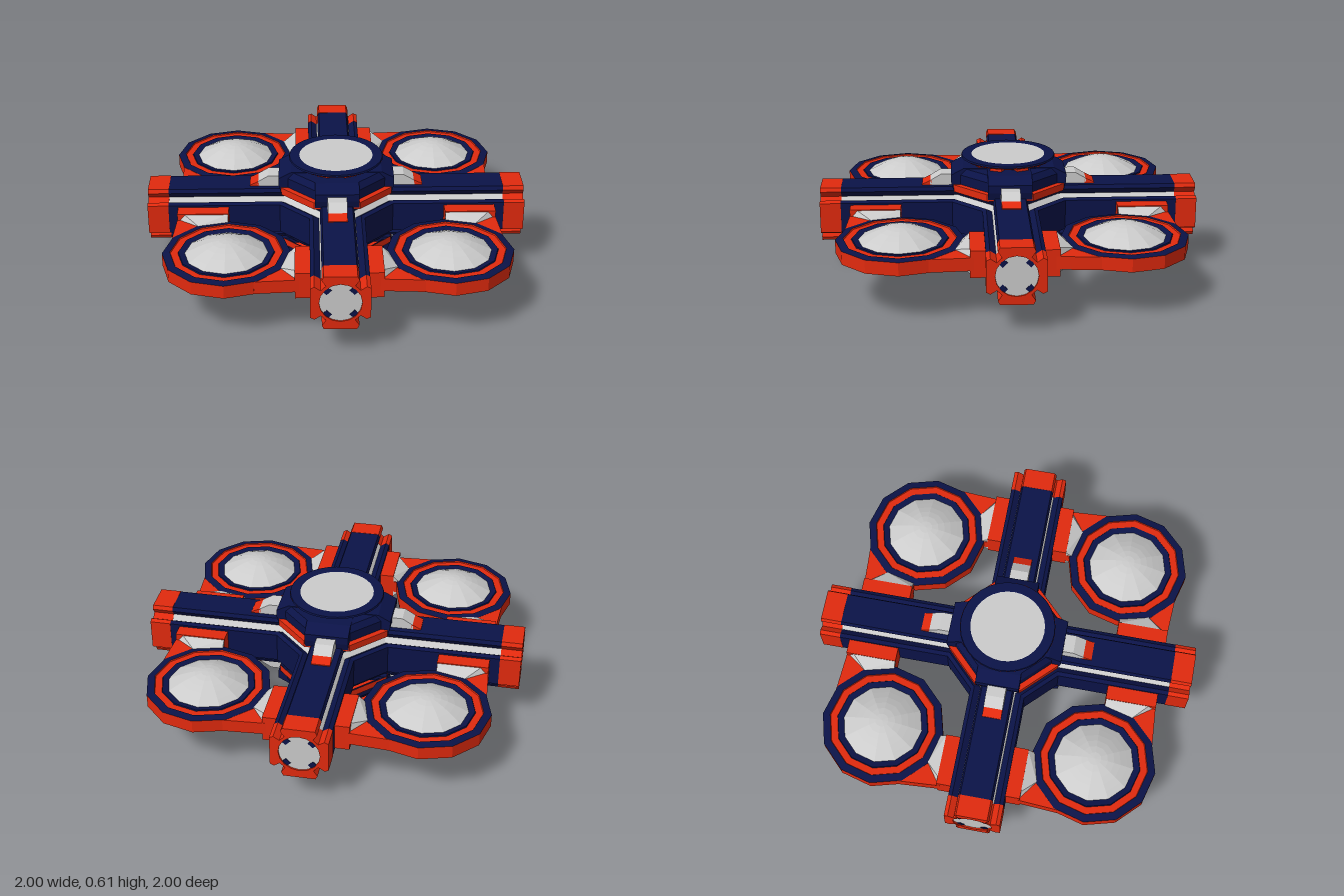
import * as THREE from 'three';
import { ConvexGeometry } from 'three/addons/geometries/ConvexGeometry.js';

const paint = (color) => new THREE.MeshStandardMaterial({ color, flatShading: true, side: THREE.DoubleSide });
const NAVY = paint(0x0b1348), RED = paint(0xe22a0e), GREY = paint(0xcccccc);
const MID = 0.305; // height of the symmetry plane

function add(parent, name, geometry, material) {
  const mesh = new THREE.Mesh(geometry, material);
  mesh.name = name;
  parent.add(mesh);
  return mesh;
}
const v2 = (pts) => pts.map(([x, y]) => new THREE.Vector2(x, y));
const lathe = (pts, sides, start = 0) => new THREE.LatheGeometry(v2(pts), sides, start);
const octagon = (pts) => lathe(pts.map(([a, y]) => [a / Math.cos(Math.PI / 8), y]), 8, Math.PI / 8);

// Side profile in x-y, extruded to a given width centred on z = 0
function slab(pts, width) {
  return new THREE.ExtrudeGeometry(new THREE.Shape(v2(pts)), { depth: width, bevelEnabled: false })
    .translate(0, 0, -width / 2);
}
// Plan outline in x-z, extruded to a given height centred on y = 0
const plate = (pts, height) => slab(pts.map(([x, z]) => [x, -z]), height).rotateX(-Math.PI / 2);

// Arm section: ridges above and beside, grooves at the diagonals
const ridge = [[0, 0.145], [0.08, 0.145], [0.09, 0.125], [0.07, 0.095]];
const sideRidge = [[0.095, 0.07], [0.125, 0.09], [0.145, 0.08], [0.145, -0.08], [0.125, -0.09], [0.095, -0.07]];
const groove = [[0.07, 0.095], [0.095, 0.07]];
const flip = (pts) => pts.map(([o, y]) => [o, -y]).reverse();

// Sweep a section from one arm to the next, around the chamfered inner corner
function cornerSweep(section) {
  const pos = [], index = [];
  for (const [o, y] of section) {
    const c = 0.445 - (0.145 - o) * Math.SQRT2;
    pos.push(0.9, y, o, c - o, y, o, o, y, c - o, o, y, 0.9);
  }
  for (let i = 0; i < section.length - 1; i++) {
    for (let j = 0; j < 3; j++) {
      const a = i * 4 + j, b = a + 4;
      index.push(a, a + 1, b, a + 1, b + 1, b);
    }
  }
  const g = new THREE.BufferGeometry();
  g.setAttribute('position', new THREE.Float32BufferAttribute(pos, 3));
  g.setIndex(index);
  g.computeVertexNormals();
  return g;
}

// Domed pod with concentric rings, the same above and below
function makePod() {
  const pod = new THREE.Group();
  pod.name = 'pod';
  add(pod, 'podRim', lathe([[0.325, -0.035], [0.325, 0.035]], 12), RED);
  const dome = [];
  for (let i = 0; i <= 6; i++) {
    const t = i / 6;
    dome.push([0.21 * (1 - t), 0.035 + 0.072 * Math.sin(t * Math.PI / 2)]);
  }
  for (const turn of [0, Math.PI]) {
    const face = new THREE.Group();
    face.name = 'podFace';
    add(face, 'outerRing', lathe([[0.325, 0.035], [0.285, 0.042]], 12), NAVY);
    add(face, 'middleRing', lathe([[0.285, 0.042], [0.282, 0.036], [0.245, 0.036]], 12), RED);
    add(face, 'innerRing', lathe([[0.245, 0.036], [0.242, 0.042], [0.21, 0.035]], 12), NAVY);
    add(face, 'dome', lathe(dome, 12), GREY);
    face.rotation.x = turn;
    pod.add(face);
  }
  pod.position.set(0.565, 0, 0.565);
  return pod;
}

// Bracket joining a pod to one arm; swapped = the arm along x
function addBracket(parent, swapped) {
  const s = ([x, z]) => (swapped ? [z, x] : [x, z]);
  add(parent, 'podBracket', plate([[0.42, 0.852], [0.2, 0.838], [0.2, 0.57], [0.25, 0.57], [0.5, 0.65]].map(s), 0.068), RED);
  add(parent, 'bracketSocket', plate([[0.12, 0.57], [0.22, 0.57], [0.22, 0.838], [0.12, 0.838]].map(s), 0.14), RED);
  const wedge = [];
  for (const k of [1, -1]) {
    for (const [x, y, z] of [[0.218, 0.066, 0.8], [0.218, 0.066, 0.572], [0.29, 0.036, 0.725], [0.218, 0.036, 0.825], [0.252, 0.036, 0.572]]) {
      const [a, b] = s([x, z]);
      wedge.push(new THREE.Vector3(a, y * k, b));
    }
  }
  add(parent, 'bracketWedge', new ConvexGeometry(wedge), GREY);
}

// Flared end cap on the +x arm
function addEndCap(parent) {
  const half = [...ridge, ...sideRidge, ...flip(ridge)];
  const outline = [...half, ...half.slice(1, -1).reverse().map(([x, y]) => [-x, y])];
  const shape = new THREE.Shape(v2(outline.map(([x, y]) => [x * 1.01, y * 1.01])));
  shape.holes.push(new THREE.Path().absarc(0, 0, 0.104, 0, Math.PI * 2, true));
  const cap = new THREE.ExtrudeGeometry(shape, { depth: 0.11, bevelEnabled: false, curveSegments: 8 });
  add(parent, 'endCap', cap.rotateY(Math.PI / 2).translate(0.89, 0, 0), RED);
  add(parent, 'endDisc', new THREE.CylinderGeometry(0.104, 0.104, 0.09, 24).rotateZ(Math.PI / 2).translate(0.947, 0, 0), GREY);
  for (let i = 0; i < 4; i++) {
    const notch = new THREE.BoxGeometry(0.02, 0.03, 0.035).translate(0.985, 0.093, 0);
    add(parent, 'endNotch', notch.rotateX(Math.PI / 4 + i * Math.PI / 2), NAVY);
  }
}

// Upper half of the hub, with its turret and the stops on the arms
function makeHub() {
  const hub = new THREE.Group();
  hub.name = 'hub';
  add(hub, 'hubBand', octagon([[0.292, 0.13], [0.292, 0.168], [0, 0.168]]), RED);
  add(hub, 'hubCore', octagon([[0.262, 0.15], [0.262, 0.22], [0.24, 0.252], [0, 0.252]]), NAVY);
  const block = [[0.295, 0.14], [0.305, 0.18], [0.305, 0.22], [0.24, 0.255]];
  const outline = [...block, ...block.map(([x, y]) => [-x, y]).reverse()];
  for (const turn of [0, Math.PI / 2]) add(hub, 'hubBlock', slab(outline, 0.23).rotateY(turn), NAVY);
  add(hub, 'turretStem', new THREE.CylinderGeometry(0.15, 0.15, 0.06, 16).translate(0, 0.265, 0), NAVY);
  for (let i = 0; i < 8; i++) {
    const tooth = new THREE.BoxGeometry(0.06, 0.05, 0.065).translate(0.155, 0.258, 0);
    add(hub, 'turretTooth', tooth.rotateY((i + 0.5) * Math.PI / 4), RED);
  }
  add(hub, 'turretFlare', lathe([[0.14, 0.274], [0.19, 0.276], [0.235, 0.284], [0.25, 0.296]], 32), RED);
  add(hub, 'turretPlate', lathe([[0.25, 0.294], [0.247, 0.303], [0.2, 0.305], [0.195, 0.303]], 32), NAVY);
  add(hub, 'turretDisc', new THREE.CircleGeometry(0.197, 32).rotateX(-Math.PI / 2).translate(0, 0.303, 0), GREY);
  for (let i = 0; i < 4; i++) {
    const turn = i * Math.PI / 2;
    add(hub, 'armStop', slab([[0.27, 0.14], [0.42, 0.14], [0.415, 0.172], [0.36, 0.205], [0.27, 0.205]], 0.1).rotateY(turn), GREY);
    add(hub, 'armStopFoot', slab([[0.41, 0.14], [0.46, 0.14], [0.46, 0.15], [0.415, 0.172], [0.41, 0.172]], 0.1).rotateY(turn), RED);
  }
  return hub;
}

export function createModel() {
  const model = new THREE.Group();
  model.name = 'station';
  const body = new THREE.Group();
  body.name = 'body';
  body.position.y = MID;
  model.add(body);

  // One quarter holds an inner corner, an arm end and a pod
  for (let i = 0; i < 4; i++) {
    const quarter = new THREE.Group();
    quarter.name = 'quarter';
    for (const section of [ridge, sideRidge, flip(ridge)]) add(quarter, 'armShell', cornerSweep(section), NAVY);
    for (const section of [groove, flip(groove)]) add(quarter, 'armStrip', cornerSweep(section), GREY);
    addEndCap(quarter);
    quarter.add(makePod());
    addBracket(quarter, false);
    addBracket(quarter, true);
    quarter.rotation.y = i * Math.PI / 2;
    body.add(quarter);
  }

  const upper = makeHub(), lower = makeHub();
  lower.rotation.x = Math.PI;
  body.add(upper, lower);
  return model;
}
